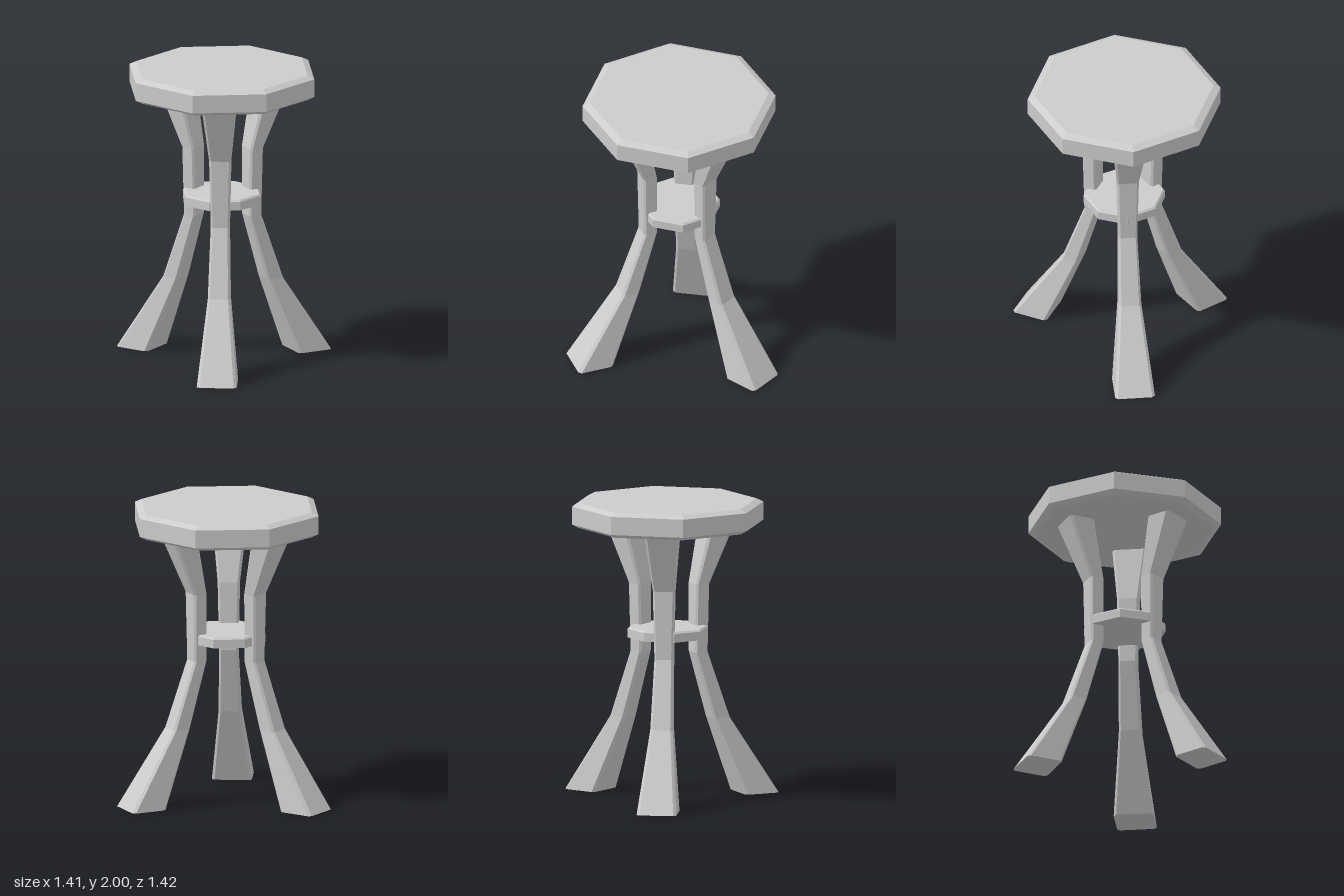
import * as THREE from 'three';

const grey = new THREE.MeshStandardMaterial({ color: 0xcccccc, flatShading: true });
grey.name = 'plain grey';

// Stack of regular octagons, each given as [radius, y]
function octagonSlab(name, rings) {
  const pts = rings.map(([r, y]) => new THREE.Vector2(r, y));
  const geo = new THREE.LatheGeometry(pts, 8).toNonIndexed();
  geo.computeVertexNormals();
  const mesh = new THREE.Mesh(geo, grey);
  mesh.name = name;
  return mesh;
}

// Leg levels: y, inner radius, outer radius, half width, corner bevel
const levels = [
  [0, 0.51, 0.757, 0.133, 0.019],
  [0.52, 0.305, 0.425, 0.075, 0.015],
  [0.97, 0.175, 0.268, 0.063, 0.013],
  [1.43, 0.18, 0.275, 0.073, 0.013],
  [1.845, 0.27, 0.45, 0.116, 0.018],
];

// Curved leg: bevelled rectangles joined from floor to seat
function legGeometry() {
  const pos = [], idx = [], n = 8;
  for (const [y, a, b, w, c] of levels) {
    const loop = [
      [b, -w + c], [b, w - c], [b - c, w], [a + c, w],
      [a, w - c], [a, -w + c], [a + c, -w], [b - c, -w],
    ];
    for (const [x, z] of loop) pos.push(x, y, z);
  }
  for (let k = 0; k < levels.length - 1; k++) {
    for (let i = 0; i < n; i++) {
      const p = k * n + i, q = k * n + (i + 1) % n;
      idx.push(p, p + n, q, q, p + n, q + n);
    }
  }
  const top = (levels.length - 1) * n;
  for (let i = 1; i < n - 1; i++) {
    idx.push(0, i, i + 1);
    idx.push(top, top + i + 1, top + i);
  }
  const geo = new THREE.BufferGeometry();
  geo.setAttribute('position', new THREE.Float32BufferAttribute(pos, 3));
  geo.setIndex(idx);
  const flat = geo.toNonIndexed();
  flat.computeVertexNormals();
  return flat;
}

export function createModel() {
  const stool = new THREE.Group();
  stool.name = 'stool';

  // Seat with bevelled rims
  stool.add(octagonSlab('seat', [
    [0, 1.83], [0.598, 1.83], [0.645, 1.855], [0.645, 1.977], [0.598, 2], [0, 2],
  ]));

  // Small shelf that ties the legs together
  stool.add(octagonSlab('shelf', [
    [0, 1.085], [0.272, 1.085], [0.272, 1.143], [0.26, 1.155], [0, 1.155],
  ]));

  // Three splayed legs
  const geo = legGeometry();
  for (let i = 0; i < 3; i++) {
    const leg = new THREE.Mesh(geo, grey);
    leg.name = 'leg' + (i + 1);
    leg.rotation.y = -i * Math.PI * 2 / 3;
    stool.add(leg);
  }

  stool.rotation.y = -THREE.MathUtils.degToRad(3.1);
  stool.position.set(-0.06, 0, 0.01);
  const model = new THREE.Group();
  model.add(stool);
  return model;
}
